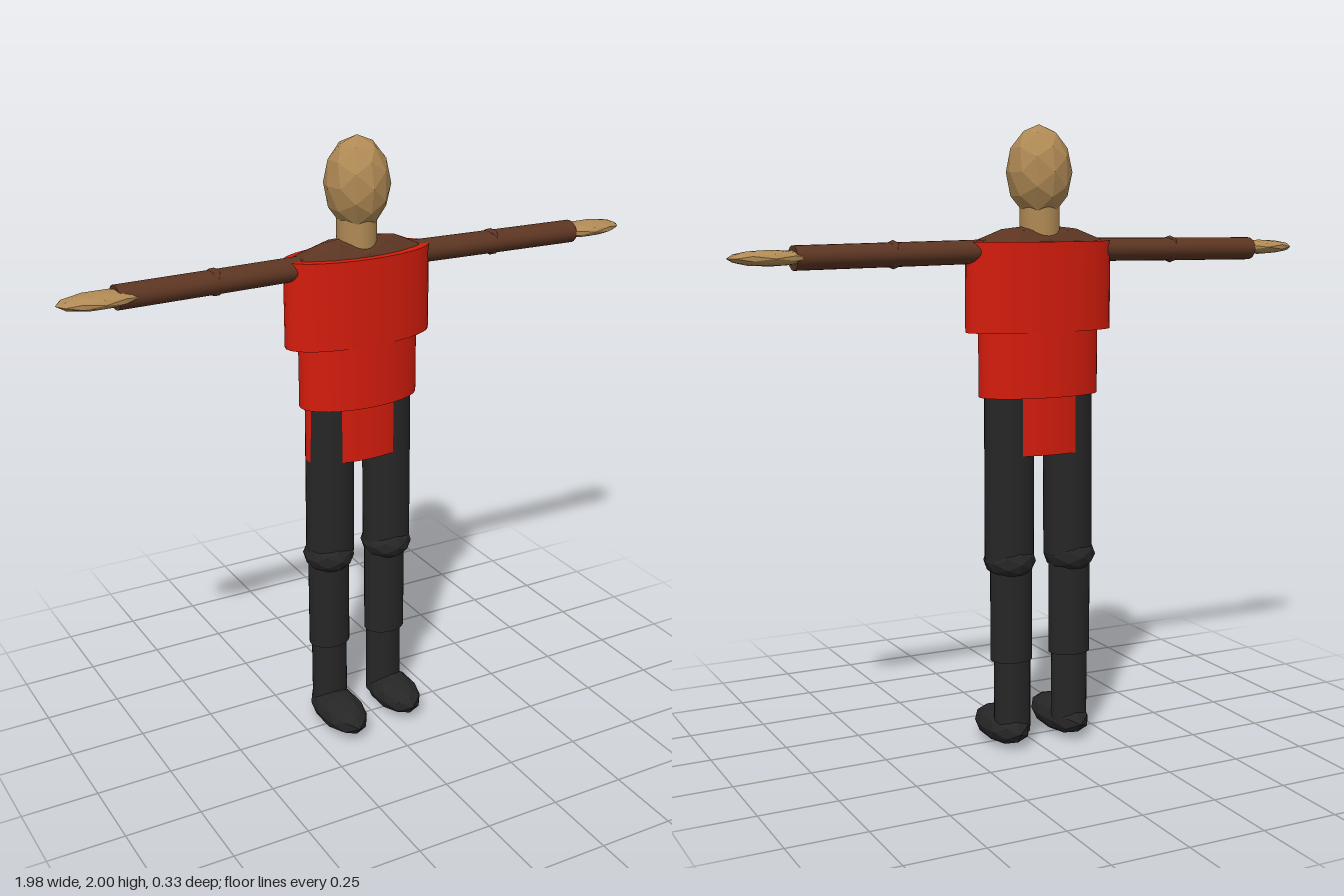
import * as THREE from 'three';

const paint = (color, flatShading = false) => new THREE.MeshStandardMaterial({ color, flatShading });
const RED = 0xd41c0c, BROWN = 0x5c3522, TAN = 0xb08a55, BLACK = 0x262626;
const Z = -0.058; // depth of the body axis

export function createModel() {
  const group = new THREE.Group();

  function add(name, geometry, material, x, y, z) {
    const mesh = new THREE.Mesh(geometry, material);
    mesh.name = name;
    mesh.position.set(x, y, z);
    group.add(mesh);
    return mesh;
  }

  // faceted ellipsoid with radii rx, ry, rz
  function blob(name, color, x, y, z, rx, ry, rz) {
    const geometry = new THREE.IcosahedronGeometry(1, 1).scale(rx, ry, rz);
    return add(name, geometry, paint(color, true), x, y, z);
  }

  // upright elliptical cylinder between two heights; the ends may shift in x
  function column(name, color, x0, y0, x1, y1, z, rx, rz) {
    const h = y1 - y0;
    const geometry = new THREE.CylinderGeometry(1, 1, h, 32).scale(rx, 1, rz);
    const mesh = add(name, geometry, paint(color), (x0 + x1) / 2, (y0 + y1) / 2, z);
    mesh.rotation.z = -Math.atan2(x1 - x0, h);
    return mesh;
  }

  // sideways arm segment between two points
  function armSegment(name, x0, y0, x1, y1) {
    const geometry = new THREE.CylinderGeometry(1, 1, Math.hypot(x1 - x0, y1 - y0), 24)
      .scale(0.037, 1, 0.046).rotateZ(Math.PI / 2);
    const mesh = add(name, geometry, paint(BROWN), (x0 + x1) / 2, (y0 + y1) / 2, Z - 0.002);
    mesh.rotation.z = Math.atan((y1 - y0) / (x1 - x0));
  }

  // head and neck
  blob('head', TAN, -0.016, 1.853, -0.06, 0.103, 0.147, 0.108);
  column('neck', TAN, -0.018, 1.62, -0.018, 1.75, -0.06, 0.063, 0.065);

  // torso
  blob('shoulders', BROWN, -0.018, 1.6, Z, 0.25, 0.092, 0.092);
  column('chest', RED, -0.017, 1.36, -0.017, 1.64, Z, 0.252, 0.104);
  column('waist', RED, -0.016, 1.155, -0.016, 1.37, Z, 0.206, 0.103);
  column('tunicHem', RED, -0.02, 0.97, -0.02, 1.16, Z, 0.184, 0.083);

  // arms, held straight out with a slight droop on the left
  const arms = [
    { side: 'right', root: [-0.14, 1.612], elbow: [-0.5, 1.609], wrist: [-0.81, 1.607], hand: [-0.862, 1.611, -0.048] },
    { side: 'left', root: [0.12, 1.611], elbow: [0.477, 1.605], wrist: [0.79, 1.6], hand: [0.86, 1.601, -0.063] },
  ];
  for (const { side, root, elbow, wrist, hand } of arms) {
    armSegment(side + 'UpperArm', ...root, ...elbow);
    armSegment(side + 'Forearm', ...elbow, ...wrist);
    blob(side + 'Elbow', BROWN, ...elbow, Z - 0.002, 0.027, 0.044, 0.046);
    blob(side + 'Hand', TAN, ...hand, 0.13, 0.024, 0.062);
  }

  // legs
  const legs = [
    { side: 'right', hip: -0.12, knee: -0.124, cap: -0.131, shin: -0.13, ankle: -0.131, foot: -0.134, toe: 0.164 },
    { side: 'left', hip: 0.088, knee: 0.089, cap: 0.087, shin: 0.082, ankle: 0.079, foot: 0.088, toe: 0.136 },
  ];
  for (const { side, hip, knee, cap, shin, ankle, foot, toe } of legs) {
    const heel = -0.138;
    column(side + 'Thigh', BLACK, knee, 0.63, hip, 1.17, Z, 0.081, 0.072);
    blob(side + 'Knee', BLACK, cap, 0.624, Z + 0.002, 0.084, 0.061, 0.089);
    column(side + 'Shin', BLACK, shin, 0.295, shin, 0.62, Z, 0.07, 0.058);
    column(side + 'Ankle', BLACK, ankle, 0.05, ankle, 0.31, Z, 0.061, 0.05);
    blob(side + 'Foot', BLACK, foot, 0.06, (toe + heel) / 2, 0.077, 0.058, (toe - heel) / 2);
  }

  return group;
}
